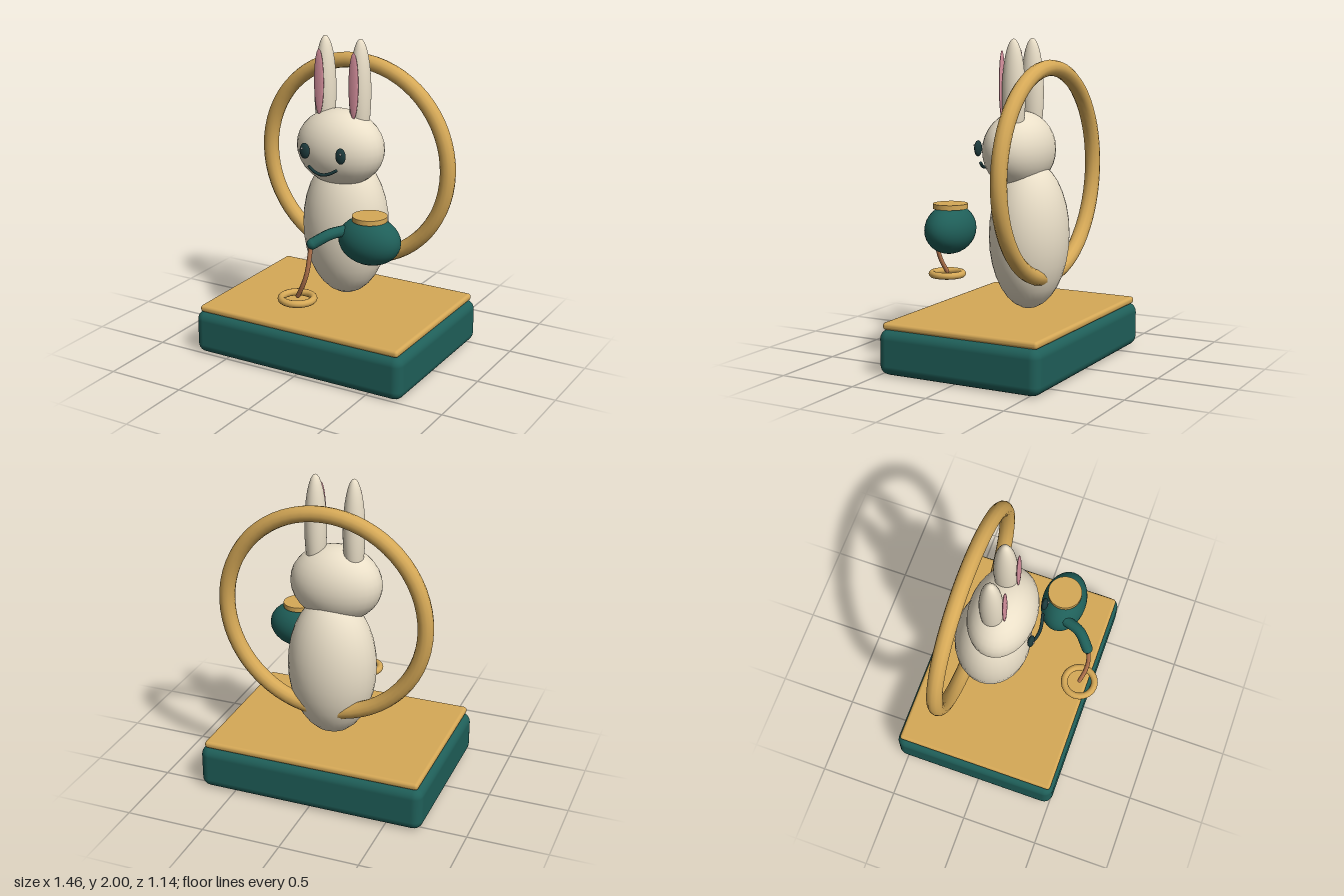
import * as THREE from 'three';
import { RoundedBoxGeometry } from 'three/addons/geometries/RoundedBoxGeometry.js';

const paint = (color) => {
  const m = new THREE.MeshStandardMaterial();
  m.color.set(color);
  return m;
};

export function createModel() {
  const model = new THREE.Group();
  const cream = paint(0xeadfc8), gold = paint(0xd6a957), teal = paint(0x1f5f59);
  const pink = paint(0xd8919f), copper = paint(0xb87850), dark = paint(0x1d3a3c), white = paint(0xffffff);

  const add = (name, geometry, material, x = 0, y = 0, z = 0) => {
    const mesh = new THREE.Mesh(geometry, material);
    mesh.name = name;
    mesh.position.set(x, y, z);
    model.add(mesh);
    return mesh;
  };
  const ellipsoid = (name, material, [x, y, z], [rx, ry, rz], seg = 32) =>
    add(name, new THREE.SphereGeometry(1, seg, seg / 2).scale(rx, ry, rz), material, x, y, z);

  // Tube along a smooth curve, with domed ends
  const tube = (name, material, points, radius) => {
    const path = points.map((p) => new THREE.Vector3(...p));
    add(name, new THREE.TubeGeometry(new THREE.CatmullRomCurve3(path), 24, radius, 10), material);
    for (const p of [points[0], points[points.length - 1]]) {
      ellipsoid(name + 'End', material, p, [radius, radius, radius], 12);
    }
  };

  // Plinth
  add('base', new RoundedBoxGeometry(1.46, 0.28, 1.08, 3, 0.06), teal, 0, 0.14, -0.03);
  add('baseTop', new RoundedBoxGeometry(1.4, 0.045, 1.04, 2, 0.02), gold, 0, 0.297, -0.03);

  // Large hoop behind the rabbit
  add('hoop', new THREE.TorusGeometry(0.637, 0.049, 12, 64), gold, 0, 1.187, -0.272);

  // Rabbit
  ellipsoid('body', cream, [0, 0.8, -0.14], [0.28, 0.46, 0.24]);
  ellipsoid('head', cream, [0, 1.32, -0.07], [0.29, 0.24, 0.207]);
  for (const [side, s] of [['left', 1], ['right', -1]]) {
    ellipsoid(side + 'Ear', cream, [s * 0.122, 1.66, -0.095], [0.066, 0.34, 0.073]);
    ellipsoid(side + 'InnerEar', pink, [s * 0.12, 1.725, -0.014], [0.034, 0.205, 0.011], 24);
    ellipsoid(side + 'Eye', dark, [s * 0.125, 1.33, 0.15], [0.034, 0.05, 0.02], 24);
    ellipsoid(side + 'EyeGlint', white, [s * 0.125 + 0.01 * s, 1.348, 0.17], [0.007, 0.007, 0.005], 12);
  }
  tube('mouth', dark, [[-0.093, 1.235, 0.15], [-0.05, 1.211, 0.16], [0, 1.201, 0.165],
    [0.05, 1.211, 0.16], [0.093, 1.235, 0.15]], 0.01);

  // Teapot with curved spout and lid
  ellipsoid('pot', teal, [0.36, 0.86, 0.21], [0.2, 0.15, 0.14]);
  add('potLid', new THREE.CylinderGeometry(0.106, 0.106, 0.03, 32), gold, 0.36, 1.001, 0.21);
  tube('spout', teal, [[0.22, 0.915, 0.27], [0.18, 0.915, 0.37], [0.105, 0.867, 0.45]], 0.034);

  // Poured stream ending in a small ring
  tube('stream', copper, [[0.102, 0.86, 0.457], [0.082, 0.69, 0.472], [0.05, 0.6, 0.468],
    [0.003, 0.515, 0.45]], 0.014);
  add('pourRing', new THREE.TorusGeometry(0.098, 0.022, 12, 40).rotateX(Math.PI / 2), gold, 0, 0.5, 0.45);

  return model;
}
